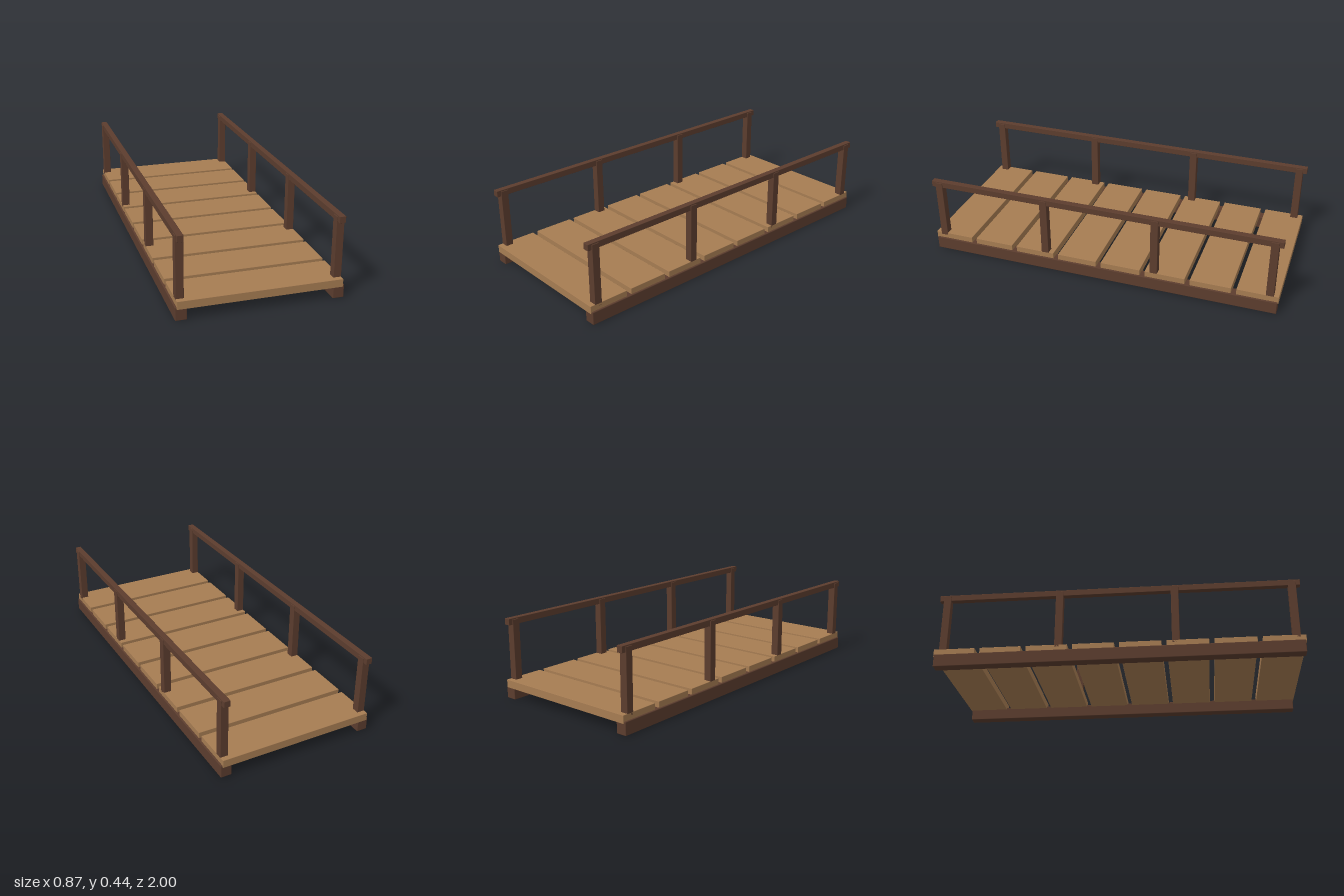
import * as THREE from 'three';
import { RoundedBoxGeometry } from 'three/addons/geometries/RoundedBoxGeometry.js';

const plankWood = new THREE.MeshStandardMaterial({ name: 'plankWood', color: 0xa67c52 });
const darkWood = new THREE.MeshStandardMaterial({ name: 'darkWood', color: 0x5c3d2e });

// Timber with slightly eased edges, placed by its centre
function timber(name, material, [w, h, d], [x, y, z], bevel = 0.002) {
  const mesh = new THREE.Mesh(new RoundedBoxGeometry(w, h, d, 1, bevel), material);
  mesh.name = name;
  mesh.position.set(x, y, z);
  return mesh;
}

export function createModel() {
  const bridge = new THREE.Group();
  bridge.name = 'footbridge';

  // Deck planks
  const planks = 8, pitch = 0.2535, depth = 0.2255;
  for (let i = 0; i < planks; i++) {
    const z = (i - (planks - 1) / 2) * pitch;
    bridge.add(timber('deckPlank', plankWood, [0.856, 0.044, depth], [0, 0.083, z]));
  }

  // Beam, posts and handrail on each side
  for (const side of [-1, 1]) {
    const label = side > 0 ? 'left' : 'right';
    const x = side * 0.407;
    bridge.add(timber(label + 'Beam', darkWood, [0.06, 0.072, 1.99], [x, 0.036, 0], 0.004));
    for (let i = 0; i < 4; i++) {
      const z = -0.951 + i * 0.634;
      bridge.add(timber(label + 'Post', darkWood, [0.042, 0.343, 0.042], [x, 0.2615, z]));
    }
    bridge.add(timber(label + 'Handrail', darkWood, [0.034, 0.035, 1.99], [x, 0.4225, 0]));
  }
  return bridge;
}
